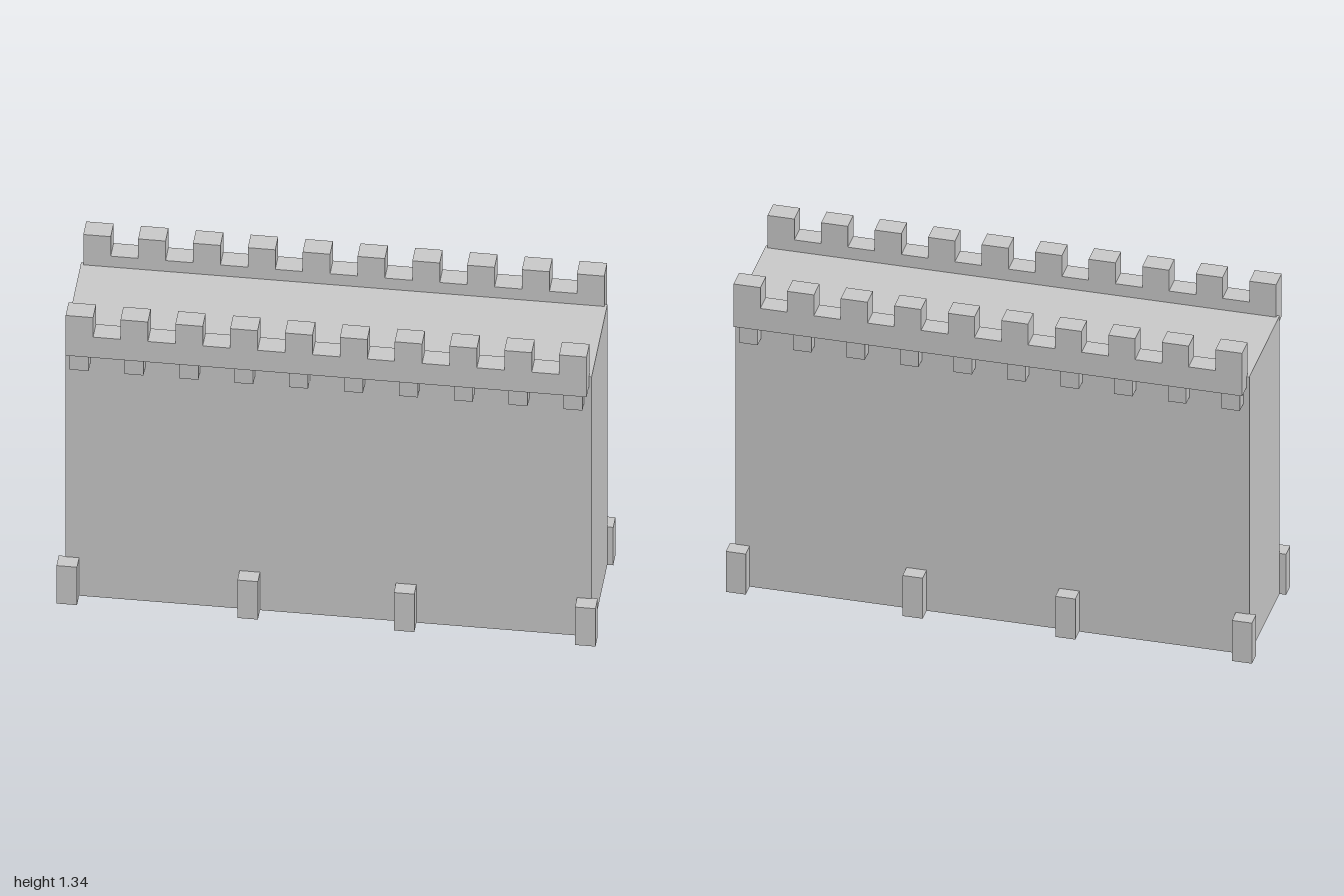
import * as THREE from 'three';

export function createModel() {
  const model = new THREE.Group();
  model.name = 'castleWall';
  const material = new THREE.MeshStandardMaterial({ color: 0xcccccc, flatShading: true });

  // Box given by its limits on each axis
  function block(name, [x0, x1], [y0, y1], [z0, z1], parent) {
    const mesh = new THREE.Mesh(new THREE.BoxGeometry(x1 - x0, y1 - y0, z1 - z0), material);
    mesh.position.set((x0 + x1) / 2, (y0 + y1) / 2, (z0 + z1) / 2);
    mesh.name = name;
    parent.add(mesh);
  }

  // Crenellated parapet outline: ten merlons with nine gaps
  const half = 0.966, merlons = 10, step = (2 * half) / (2 * merlons - 1);
  const bottom = 1.155, sill = 1.25, top = 1.34;
  const outline = new THREE.Shape();
  outline.moveTo(-half, bottom);
  outline.lineTo(half, bottom);
  for (let i = 0; i < merlons; i++) {
    const x = half - 2 * i * step;
    if (i > 0) outline.lineTo(x, sill);
    outline.lineTo(x, top);
    outline.lineTo(x - step, top);
    if (i < merlons - 1) outline.lineTo(x - step, sill);
  }
  outline.closePath();
  const parapetGeometry = new THREE.ExtrudeGeometry(outline, { depth: 0.08, bevelEnabled: false });

  // Main wall body
  block('wall', [-0.976, 0.976], [0, 1.2], [-0.222, 0.222], model);

  // Matching battlements and footings on the front and back
  for (const side of [1, -1]) {
    const face = new THREE.Group();
    face.name = side > 0 ? 'frontFace' : 'backFace';
    model.add(face);
    const span = (a, b) => (side > 0 ? [a, b] : [-b, -a]);

    const parapet = new THREE.Mesh(parapetGeometry, material);
    parapet.name = 'parapet';
    parapet.position.z = side > 0 ? 0.208 : -0.288;
    face.add(parapet);

    // Corbels under the parapet
    for (let i = 0; i < merlons; i++) {
      const x = -0.918 + i * 0.2035;
      block('corbel', [x - 0.035, x + 0.035], [1.08, bottom], span(0.208, 0.273), face);
    }

    // Footing posts along the base
    for (const x of [-0.963, -0.292, 0.288, 0.96]) {
      block('footingPost', [x - 0.038, x + 0.038], [0, 0.175], span(0.218, 0.28), face);
    }
  }
  return model;
}
